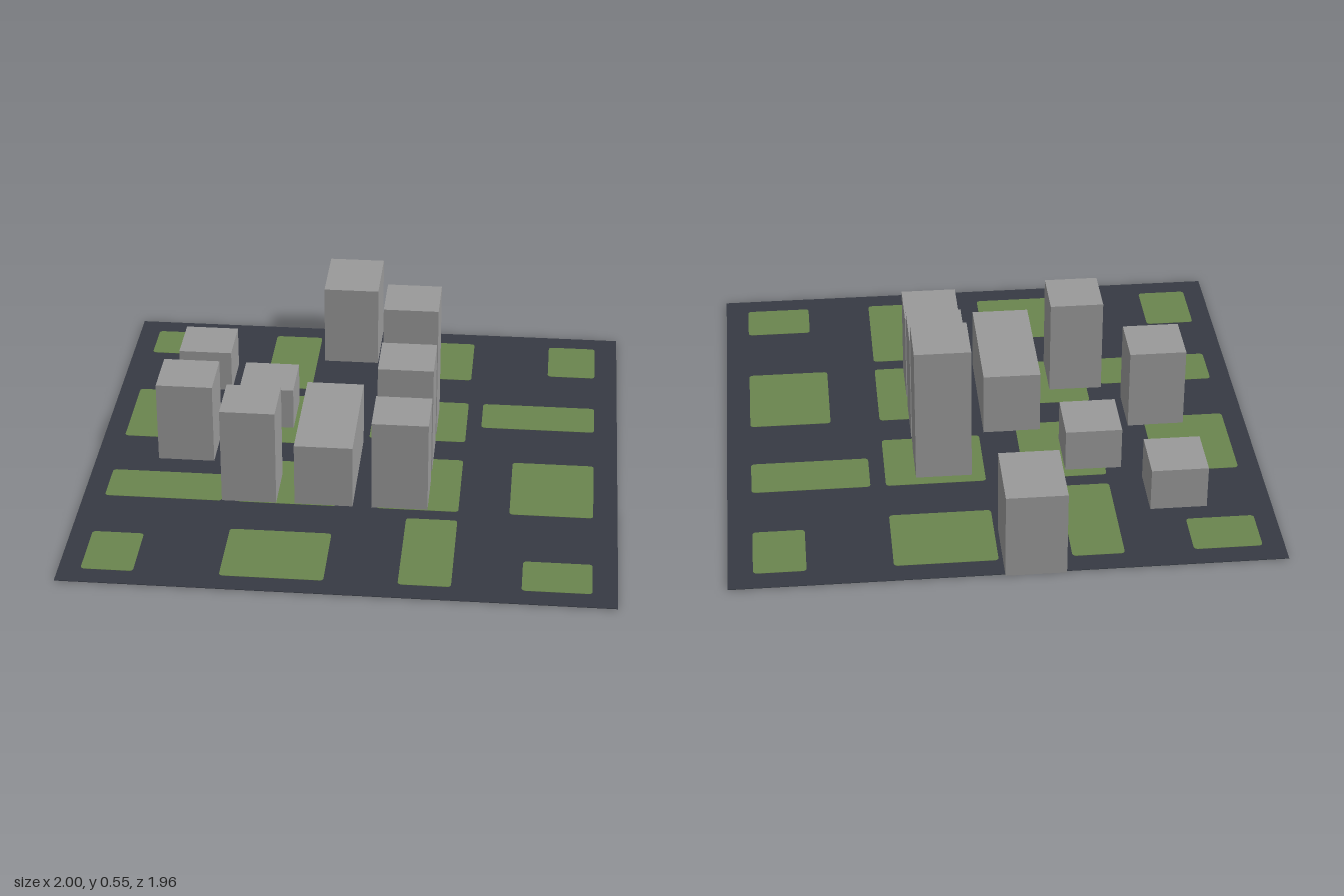
import * as THREE from 'three';

const asphalt = new THREE.MeshStandardMaterial({ name: 'asphalt', color: 0x363a43 });
const grass = new THREE.MeshStandardMaterial({ name: 'grass', color: 0x6a854e });
const concrete = new THREE.MeshStandardMaterial({ name: 'concrete', color: 0x999999 });

// Box given by its ranges in x, y and z
function block(name, material, x0, x1, y0, y1, z0, z1) {
  const mesh = new THREE.Mesh(new THREE.BoxGeometry(x1 - x0, y1 - y0, z1 - z0), material);
  mesh.position.set((x0 + x1) / 2, (y0 + y1) / 2, (z0 + z1) / 2);
  mesh.name = name;
  return mesh;
}

// Thin lawn plate with small rounded corners
function lawn(name, x0, x1, z0, z1) {
  const a = (x1 - x0) / 2, b = (z1 - z0) / 2, r = 0.014;
  const shape = new THREE.Shape();
  shape.absarc(a - r, b - r, r, 0, Math.PI / 2);
  shape.absarc(r - a, b - r, r, Math.PI / 2, Math.PI);
  shape.absarc(r - a, r - b, r, Math.PI, Math.PI * 1.5);
  shape.absarc(a - r, r - b, r, Math.PI * 1.5, Math.PI * 2);
  shape.closePath();
  const geometry = new THREE.ExtrudeGeometry(shape, { depth: 0.004, bevelEnabled: false, curveSegments: 3 });
  geometry.rotateX(-Math.PI / 2);
  const mesh = new THREE.Mesh(geometry, grass);
  mesh.position.set((x0 + x1) / 2, 0.001, (z0 + z1) / 2);
  mesh.name = name;
  return mesh;
}

export function createModel() {
  const city = new THREE.Group();
  city.name = 'cityBlock';

  // Street surface
  city.add(block('streets', asphalt, -1, 1, 0.002, 0.004, -0.978, 0.978));

  // Lawns: half of them, repeated with a half turn about the middle
  const lawns = [
    [-0.92, -0.67, -0.895, -0.71],
    [-0.42, -0.23, -0.895, -0.462],
    [0.035, 0.41, -0.895, -0.59],
    [0.72, 0.91, -0.895, -0.65],
    [-0.92, -0.61, -0.402, -0.035],
    [-0.42, -0.11, -0.402, -0.035],
    [0.035, 0.41, -0.402, -0.10],
    [0.468, 0.91, -0.402, -0.217],
  ];
  const cx = -0.005, cz = 0.001;
  lawns.forEach(([x0, x1, z0, z1], i) => {
    city.add(lawn(`lawnBack${i + 1}`, x0, x1, z0, z1));
    city.add(lawn(`lawnFront${i + 1}`, 2 * cx - x1, 2 * cx - x0, 2 * cz - z1, 2 * cz - z0));
  });

  // Buildings: x range, z range, height
  const buildings = [
    [-0.20, 0.02, -0.983, -0.703, 0.335],
    [-0.76, -0.55, -0.637, -0.428, 0.173],
    [-0.48, -0.268, -0.36, -0.15, 0.173],
    [0.085, 0.295, -0.36, -0.15, 0.548],
    [-0.76, -0.545, -0.085, 0.123, 0.327],
    [-0.203, 0.015, -0.08, 0.40, 0.255],
    [0.085, 0.295, -0.085, 0.123, 0.44],
    [-0.477, -0.272, 0.195, 0.40, 0.387],
    [0.085, 0.295, 0.195, 0.40, 0.365],
  ];
  buildings.forEach(([x0, x1, z0, z1, h], i) => {
    city.add(block(`building${i + 1}`, concrete, x0, x1, 0, h, z0, z1));
  });

  return city;
}
